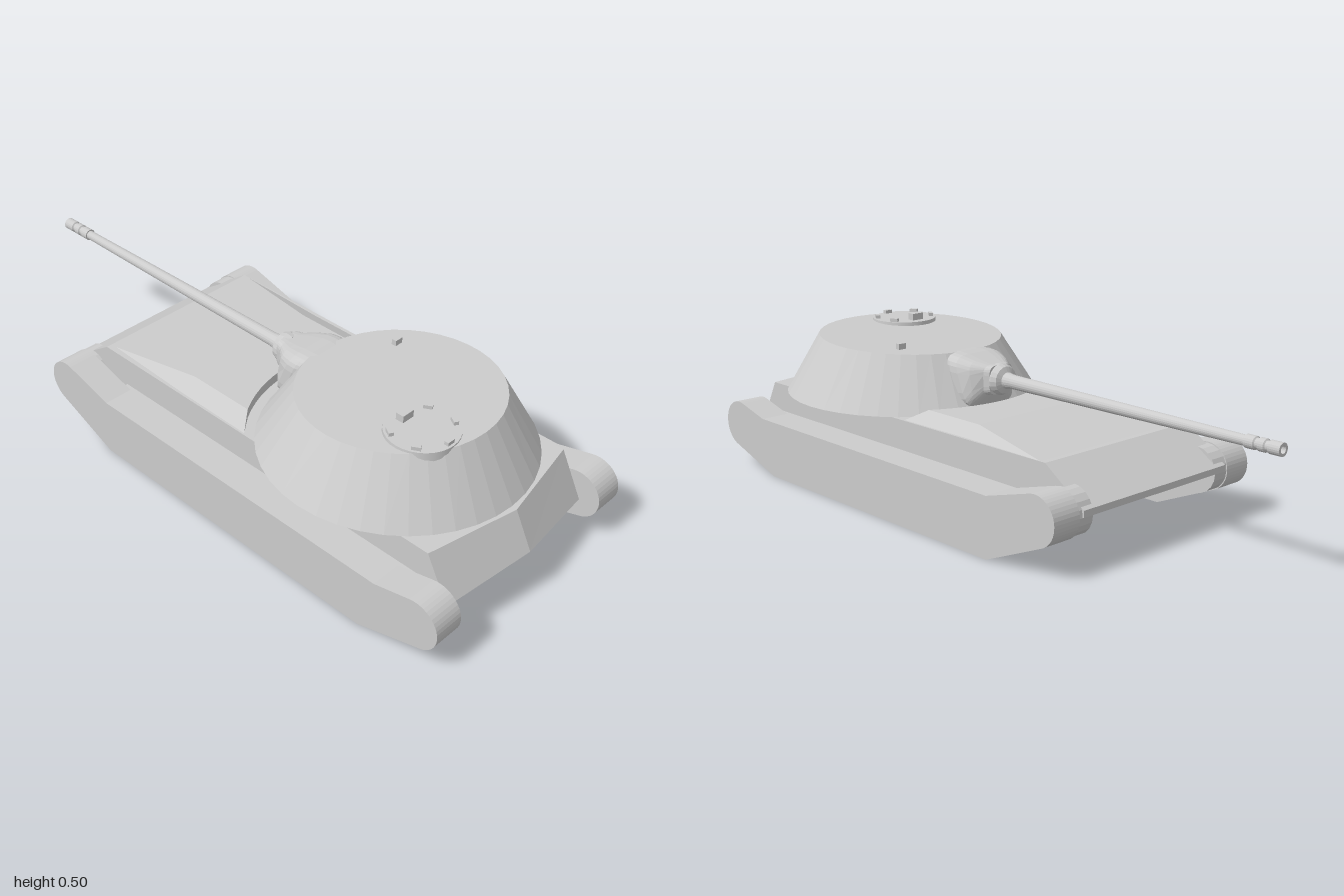
import * as THREE from 'three';

const flat = new THREE.MeshStandardMaterial({ color: 0xcccccc, flatShading: true });
const smooth = new THREE.MeshStandardMaterial({ color: 0xcccccc });

// Skin a row of equal-length cross-sections; closed ones also get end caps.
function loft(rings, closed = true) {
  const pos = [];
  const tri = (...pts) => pts.forEach((p) => pos.push(...p));
  const n = rings[0].length;
  for (let i = 0; i < rings.length - 1; i++) {
    for (let j = 0; j < (closed ? n : n - 1); j++) {
      const k = (j + 1) % n;
      const a = rings[i][j], b = rings[i][k], c = rings[i + 1][k], d = rings[i + 1][j];
      tri(a, d, c);
      tri(a, c, b);
    }
  }
  if (closed) {
    const s = rings[0], e = rings[rings.length - 1];
    for (let j = 1; j < n - 1; j++) {
      tri(s[0], s[j], s[j + 1]);
      tri(e[0], e[j + 1], e[j]);
    }
  }
  const g = new THREE.BufferGeometry();
  g.setAttribute('position', new THREE.Float32BufferAttribute(pos, 3));
  g.computeVertexNormals();
  return g;
}

export function createModel() {
  const model = new THREE.Group();
  const add = (name, geo, x = 0, y = 0, z = 0, mat = flat, parent = model) => {
    const m = new THREE.Mesh(geo, mat);
    m.name = name;
    m.position.set(x, y, z);
    parent.add(m);
    return m;
  };

  // Hull: side profile swept across the width, with a chevron rear plate
  const hullSection = (x, zTop, zLow, yLow) => [
    [x, 0.285, -0.44], [x, 0.185, -0.588], [x, 0.165, -0.588], [x, 0.1, -0.43],
    [x, 0.1, 0.91], [x, yLow, zLow], [x, 0.279, zTop],
  ];
  add('hull', loft([
    hullSection(-0.3, 0.865, 0.94, 0.138),
    hullSection(0, 0.925, 0.985, 0.164),
    hullSection(0.3, 0.865, 0.94, 0.138),
  ]));
  add('lowerHull', new THREE.BoxGeometry(0.63, 0.087, 1.24), 0, 0.1435, 0.27);

  // Raised front deck, cut to an arc around the turret
  const columns = [];
  for (let i = -8; i <= 8; i++) {
    const outer = Math.abs(i) === 8;
    const x = outer ? Math.sign(i) * 0.3 : (i / 7) * 0.235;
    const zArc = 0.5 - Math.sqrt(0.44 ** 2 - x * x);
    const y = outer ? 0.279 : 0.312;
    const xFront = outer ? x : x * 1.2;
    columns.push([[x, 0.27, zArc], [x, y, zArc], [x, y, -0.1], [xFront, 0.284, -0.43]]);
  }
  add('frontDeck', loft(columns, false), 0, 0, 0,
    new THREE.MeshStandardMaterial({ color: 0xcccccc, flatShading: true, side: THREE.DoubleSide }));

  // Track units with rounded ends, and inner hubs at the drive end
  const rad = THREE.MathUtils.degToRad;
  const profile = new THREE.Shape();
  profile.moveTo(-0.73, 0);
  profile.lineTo(0.32, 0);
  profile.absarc(0.512, 0.163, 0.075, rad(-66), rad(105), false);
  profile.lineTo(0.32, 0.187);
  profile.lineTo(-0.78, 0.187);
  profile.absarc(-0.92, 0.142, 0.078, rad(75), rad(248), false);
  const trackGeo = new THREE.ExtrudeGeometry(profile, { depth: 0.097, bevelEnabled: false, curveSegments: 10 });
  trackGeo.rotateY(Math.PI / 2);
  const hubGeo = new THREE.CylinderGeometry(0.072, 0.072, 0.06, 20).rotateZ(Math.PI / 2);
  for (const s of [1, -1]) {
    const side = s > 0 ? 'left' : 'right';
    add(side + 'Track', trackGeo, s > 0 ? 0.313 : -0.41, 0, 0);
    add(side + 'DriveHub', hubGeo, s * 0.29, 0.163, -0.512);
  }

  // Turret: truncated cone whose roof rises slightly to the rear
  const turret = new THREE.Group();
  turret.name = 'turret';
  model.add(turret);
  const roofY = (z) => 0.463 + (z - 0.5) * 0.04;
  const body = new THREE.CylinderGeometry(0.3, 0.41, 0.18, 40);
  const p = body.attributes.position;
  for (let i = 0; i < p.count; i++) {
    if (p.getY(i) > 0) p.setY(i, 0.09 + p.getZ(i) * 0.04);
  }
  add('turretBody', body, 0, 0.373, 0.5, flat, turret);
  add('turretRing', new THREE.CylinderGeometry(0.29, 0.29, 0.02, 40), 0, 0.277, 0.5, flat, turret);

  // Mantlet: rounded-square sections [z, half width, bottom, top, lean]
  const sections = [
    [0.24, 0.09, 0.295, 0.45, 0.4], [0.165, 0.105, 0.288, 0.453, 0.4], [0.135, 0.103, 0.292, 0.45, 0.4],
    [0.105, 0.085, 0.31, 0.438, 0.2], [0.08, 0.056, 0.332, 0.428, 0], [0.06, 0.048, 0.336, 0.428, 0],
  ];
  const round = (v) => Math.sign(v) * Math.abs(v) ** 0.45;
  const rings = sections.map(([z, w, y0, y1, lean]) => Array.from({ length: 28 }, (_, i) => {
    const a = ((i + 0.5) / 28) * Math.PI * 2;
    const y = (y0 + y1) / 2 + round(Math.sin(a)) * (y1 - y0) / 2;
    return [round(Math.cos(a)) * w, y, z + (y - 0.37) * lean];
  }));
  add('mantlet', loft(rings), 0, 0, 0, flat, turret);

  // Gun: collar, tapering barrel and ringed muzzle, turned around the bore
  const gun = [
    [0, 0.08], [0.047, 0.08], [0.05, 0.055], [0.043, 0.037], [0.026, 0.03], [0.022, 0.0], [0.019, -0.4],
    [0.015, -0.885], [0.019, -0.885], [0.019, -0.915], [0.015, -0.918], [0.015, -0.926],
    [0.019, -0.929], [0.019, -0.948], [0.015, -0.951], [0.015, -0.959], [0.019, -0.962],
    [0.019, -1.0], [0.011, -1.0], [0.011, -0.96], [0, -0.96],
  ].map(([r, z]) => new THREE.Vector2(r, -z));
  const gunGeo = new THREE.LatheGeometry(gun, 20).rotateX(-Math.PI / 2);
  add('gun', gunGeo, 0, 0.382, 0, flat, turret);

  // Commander's cupola with small periscopes around its rim
  const cupola = new THREE.Group();
  cupola.name = 'cupola';
  cupola.position.set(-0.11, 0, 0.67);
  turret.add(cupola);
  add('cupolaDrum', new THREE.CylinderGeometry(0.107, 0.112, 0.06, 32), 0, 0.448, 0, smooth, cupola);
  for (let i = 1; i < 6; i++) {
    const a = (i / 6) * Math.PI * 2;
    const scope = add('periscope', new THREE.BoxGeometry(0.026, 0.012, 0.014),
      -Math.sin(a) * 0.092, 0.483, -Math.cos(a) * 0.092, flat, cupola);
    scope.rotation.y = a;
  }
  add('mainSight', new THREE.BoxGeometry(0.043, 0.024, 0.026), 0, 0.488, -0.062, flat, cupola);

  // Roof sight on the other side
  add('roofSight', new THREE.BoxGeometry(0.028, 0.03, 0.016), 0.165, roofY(0.345) + 0.003, 0.345, flat, turret);

  return model;
}
